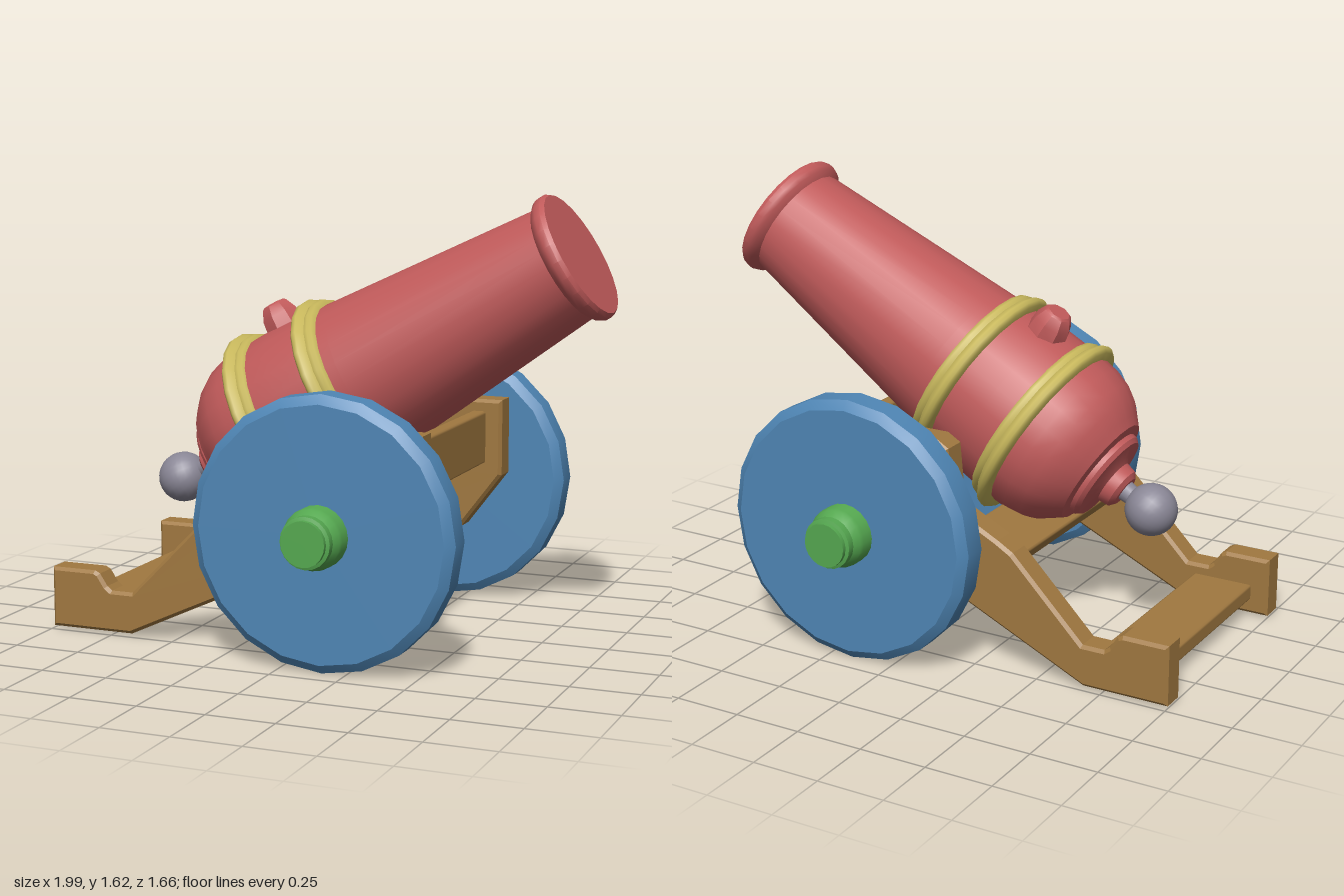
import * as THREE from 'three';
import { toCreasedNormals } from 'three/addons/utils/BufferGeometryUtils.js';
import { RoundedBoxGeometry } from 'three/addons/geometries/RoundedBoxGeometry.js';

const mat = (color) => new THREE.MeshStandardMaterial({ color });
const RED = mat(0xc05a5a), YELLOW = mat(0xc8b85c), BLUE = mat(0x4f86b5);
const GREEN = mat(0x55a850), WOOD = mat(0xa07840), GREY = mat(0x8a8796);

function add(parent, name, geometry, material, x = 0, y = 0, z = 0) {
  const mesh = new THREE.Mesh(geometry, material);
  mesh.name = name;
  mesh.position.set(x, y, z);
  parent.add(mesh);
  return mesh;
}

// Turned part from [radius, height] pairs, listed bottom to top
function turned(points, sides, crease = 0.6) {
  const g = new THREE.LatheGeometry(points.map(([r, h]) => new THREE.Vector2(r, h)), sides);
  return toCreasedNormals(g, crease);
}

// Barrel, built along local +y from the knob to the muzzle; local -x is its upper side
function buildBarrel() {
  const barrel = new THREE.Group();
  barrel.name = 'barrel';
  add(barrel, 'barrelBody', turned([
    [0, 0.12], [0.058, 0.12], [0.078, 0.135], [0.085, 0.175], [0.11, 0.185],
    [0.165, 0.195], [0.178, 0.21], [0.18, 0.228], [0.215, 0.235], [0.24, 0.262],
    [0.278, 0.305], [0.305, 0.355], [0.322, 0.42], [0.328, 0.5], [0.325, 0.65],
    [0.312, 0.8], [0.299, 0.91], [0.217, 1.745], [0.238, 1.762], [0.246, 1.778],
    [0.246, 1.8], [0.236, 1.815], [0, 1.815],
  ], 24), RED);

  // Two stepped bands
  for (const [name, s, r] of [['rearBand', 0.475, 0.37], ['frontBand', 0.782, 0.354]]) {
    add(barrel, name, turned([
      [r - 0.06, s], [r - 0.012, s + 0.002], [r, s + 0.014], [r, s + 0.03],
      [r - 0.014, s + 0.045], [r - 0.024, s + 0.052], [r - 0.02, s + 0.068],
      [r - 0.028, s + 0.082], [r - 0.06, s + 0.088],
    ], 24, 1), YELLOW);
  }

  // Touch hole stub
  const vent = add(barrel, 'vent', turned([
    [0.08, 0], [0.072, 0.06], [0.052, 0.1], [0.042, 0.107], [0, 0.107],
  ], 8), RED, -0.3, 0.68, 0);
  vent.rotation.z = Math.PI / 2;

  // Knob and its neck
  add(barrel, 'knobNeck', new THREE.CylinderGeometry(0.042, 0.032, 0.1, 16), GREY, -0.005, 0.1, 0);
  add(barrel, 'knob', new THREE.SphereGeometry(0.096, 24, 16), GREY, -0.012, 0.003, 0);

  barrel.position.set(-0.69, 0.5, 0);
  barrel.rotation.z = THREE.MathUtils.degToRad(30.5 - 90);
  return barrel;
}

// Side plank of the carriage with a bevelled edge
function cheekGeometry() {
  const b = 0.012, thick = 0.106;
  const outline = [
    [-1, 0.01], [-0.675, 0.01], [-0.05, 0.3], [0.3, 0.32], [0.46, 0.53],
    [0.46, 0.82], [-0.08, 0.82], [-0.13, 0.79], [-0.15, 0.575], [-0.33, 0.485],
    [-0.39, 0.45], [-0.67, 0.165], [-0.755, 0.165], [-0.775, 0.18], [-0.805, 0.225],
    [-0.825, 0.235], [-1, 0.235],
  ].map(([x, y]) => new THREE.Vector2(x, y));
  const g = new THREE.ExtrudeGeometry(new THREE.Shape(outline), {
    depth: thick - 2 * b, bevelEnabled: true, bevelSize: b, bevelOffset: -b,
    bevelThickness: b, bevelSegments: 1,
  });
  g.translate(0, 0, b - thick / 2);
  return g;
}

function buildCarriage() {
  const carriage = new THREE.Group();
  carriage.name = 'carriage';
  const cheek = cheekGeometry();
  add(carriage, 'leftCheek', cheek, WOOD, 0, 0, 0.435);
  add(carriage, 'rightCheek', cheek, WOOD, 0, 0, -0.435);

  // Cross planks: name, width, height, x, y, tilt
  for (const [name, w, h, x, y, tilt] of [
    ['frontCrossbeam', 0.058, 0.2, 0.368, 0.675, 0],
    ['middleCrossbeam', 0.21, 0.068, -0.26, 0.42, Math.PI / 6],
    ['rearCrossbeam', 0.235, 0.06, -0.815, 0.095, 0],
  ]) {
    add(carriage, name, new RoundedBoxGeometry(w, h, 0.8, 1, 0.01), WOOD, x, y, 0).rotation.z = tilt;
  }
  return carriage;
}

// Wheel with its axle stub, built along local +y away from the carriage
function buildWheel(name, side) {
  const wheel = new THREE.Group();
  wheel.name = name;
  add(wheel, 'wheelDisc', turned([
    [0, 0.558], [0.455, 0.558], [0.488, 0.582], [0.488, 0.67], [0.455, 0.695], [0, 0.695],
  ], 20, 0.45), BLUE);
  add(wheel, 'axle', turned([
    [0, 0.45], [0.11, 0.45], [0.11, 0.745], [0.106, 0.76], [0.092, 0.785],
    [0.092, 0.812], [0.08, 0.816], [0.08, 0.832], [0, 0.832],
  ], 20, 0.5), GREEN);
  wheel.position.set(0.163, 0.49, 0);
  wheel.rotation.x = side * Math.PI / 2;
  return wheel;
}

export function createModel() {
  const model = new THREE.Group();
  model.name = 'cannon';
  model.add(buildBarrel(), buildCarriage(), buildWheel('leftWheel', 1), buildWheel('rightWheel', -1));
  return model;
}
